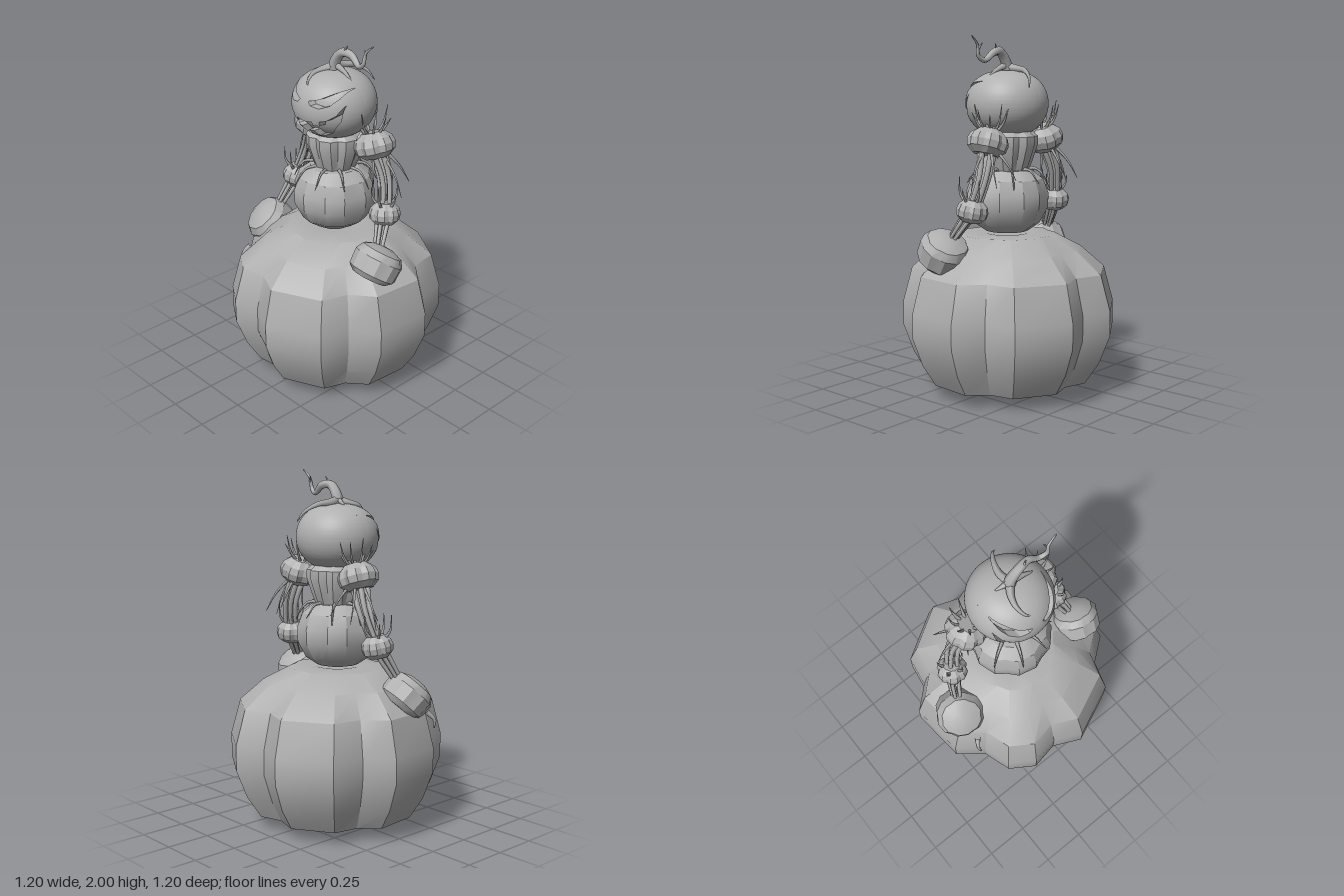
import * as THREE from 'three';
import { toCreasedNormals } from 'three/addons/utils/BufferGeometryUtils.js';

const V = (x, y, z) => new THREE.Vector3(x, y, z);
let seed = 7;
const rnd = (a, b) => { seed = (seed * 16807) % 2147483647; return a + (b - a) * seed / 2147483647; };

export function createModel() {
  const root = new THREE.Group();
  const grey = new THREE.MeshStandardMaterial({ color: 0xb0b0b0 });
  grey.name = 'grey';

  function add(name, geometry, parent = root) {
    const m = new THREE.Mesh(geometry, grey);
    m.name = name;
    parent.add(m);
    return m;
  }
  function fromTriangles(list, crease) {
    const g = new THREE.BufferGeometry();
    g.setAttribute('position', new THREE.Float32BufferAttribute(list.flatMap(p => [p.x, p.y, p.z]), 3));
    return toCreasedNormals(g, crease);
  }
  // Skin of a gourd: the outline (unit x,z loop) is swept up a profile of [radius, y];
  // the grooves fade out near the poles.
  function gourd(outline, profile, crease = 0.5) {
    const maxR = Math.max(...profile.map(p => p[0])), n = outline.length, tris = [];
    const rings = profile.map(([r, y]) => outline.map(([x, z]) => {
      const l = Math.hypot(x, z), k = r * (1 + (l - 1) * Math.min(1, 1.15 * r / maxR)) / l;
      return V(x * k, y, z * k);
    }));
    for (let i = 0; i + 1 < rings.length; i++) for (let j = 0; j < n; j++) {
      const k = (j + 1) % n, a = rings[i][j], b = rings[i][k], c = rings[i + 1][k], d = rings[i + 1][j];
      if (profile[i][0] > 0) tris.push(a, b, c);
      if (profile[i + 1][0] > 0) tris.push(a, c, d);
    }
    return fromTriangles(tris, crease);
  }
  // Lobed outline: two corners and one groove per lobe
  function lobes(n, groove, turn = 0) {
    const pts = [];
    for (let i = 0; i < n; i++) for (const [t, r] of [[0, groove], [0.28, 1], [0.72, 1]]) {
      const a = (i + t) / n * Math.PI * 2 + turn;
      pts.push([Math.sin(a) * r, Math.cos(a) * r]);
    }
    return pts;
  }
  // Tube tapering along a smooth path
  function vine(name, pts, r0, r1, parent = root, segs = 12, sides = 5) {
    const curve = new THREE.CatmullRomCurve3(pts);
    const g = new THREE.TubeGeometry(curve, segs, 1, sides);
    const p = g.attributes.position, v = V(), c = V();
    for (let i = 0; i < p.count; i++) {
      const t = Math.floor(i / (sides + 1)) / segs;
      curve.getPointAt(t, c);
      v.fromBufferAttribute(p, i).sub(c).multiplyScalar(r0 + (r1 - r0) * t).add(c);
      p.setXYZ(i, v.x, v.y, v.z);
    }
    return add(name, g, parent);
  }
  function place(mesh, pos, axis) {
    mesh.position.copy(pos);
    mesh.quaternion.setFromUnitVectors(V(0, 1, 0), axis.clone().normalize());
  }

  // Large base pumpkin
  const baseLoop = [[-.08, .52], [.08, .595], [.38, .46], [.43, .3], [.57, .19], [.6, -.13], [.47, -.25], [.44, -.43],
    [.17, -.6], [0, -.54], [-.17, -.6], [-.44, -.43], [-.47, -.25], [-.6, -.13], [-.57, .19], [-.43, .3],
    [-.38, .46], [-.24, .55]].map(([x, z]) => [x / .61, z / .61]);
  add('basePumpkin', gourd(baseLoop, [[0, .03], [.08, .025], [.22, .003], [.47, .075], [.55, .2], [.61, .36], [.61, .5],
    [.555, .7], [.42, .82], [.27, .9], [.13, .905], [0, .88]]));

  // Waist pumpkin and ribbed chest
  add('waist', gourd(lobes(6, .93, .3), [[0, .9], [.12, .915], [.185, .96], [.232, 1.05], [.235, 1.13], [.205, 1.21],
    [.14, 1.26], [0, 1.27]]));
  const chest = add('chest', gourd(lobes(7, .88), [[0, 1.25], [.115, 1.26], [.135, 1.31], [.165, 1.4], [.165, 1.45],
    [.12, 1.49], [0, 1.5]]));
  chest.position.z = -.01;

  // Head: squashed sphere with a carved face
  const HY = 1.63, HH = .183, HR = .232, DEPTH = .045;
  const ringR = y => HR * Math.pow(Math.max(0, 1 - ((y - HY) / HH) ** 2), .4);
  const onHead = (x, y) => V(x, y, Math.sqrt(Math.max(0, ringR(y) ** 2 - x * x)));
  const eye = [[.18, 1.755], [.14, 1.738], [.09, 1.708], [.03, 1.692], [.05, 1.672], [.1, 1.664], [.145, 1.682], [.17, 1.715]];
  const mouth = [[.2, 1.685], [.175, 1.63], [.135, 1.6], [.1, 1.592], [.095, 1.565], [.06, 1.56], [.055, 1.582], [0, 1.575],
    [-.055, 1.582], [-.06, 1.56], [-.095, 1.565], [-.1, 1.592], [-.135, 1.6], [-.175, 1.63], [-.2, 1.685], [-.19, 1.6],
    [-.14, 1.525], [-.085, 1.505], [-.08, 1.535], [-.045, 1.53], [-.04, 1.488], [.01, 1.482], [.015, 1.525], [.05, 1.527],
    [.055, 1.492], [.1, 1.505], [.14, 1.525], [.19, 1.6]];
  const cuts = [eye, eye.map(([x, y]) => [-x, y]).reverse(), mouth].map(loop => {
    const dense = loop.flatMap(([x, y], i) => {
      const [u, w] = loop[(i + 1) % loop.length], n = Math.ceil(Math.hypot(u - x, w - y) / .006);
      return Array.from({ length: n }, (_, k) => new THREE.Vector2(x + (u - x) * k / n, y + (w - y) * k / n));
    });
    return THREE.ShapeUtils.isClockWise(dense) ? dense.reverse() : dense;
  });
  const inside = (x, y) => cuts.some(loop => loop.reduce((odd, p, i) => {
    const q = loop[(i + 1) % loop.length];
    return (p.y > y) !== (q.y > y) && x < p.x + (q.x - p.x) * (y - p.y) / (q.y - p.y) ? !odd : odd;
  }, false));
  const rim = cuts.flat();
  function headPoint(i, j) {
    const e = (i / 72 - .5) * Math.PI, a = j / 144 * Math.PI * 2;
    const y = HY + HH * Math.sin(e), r = ringR(y), p = V(Math.sin(a) * r, y, Math.cos(a) * r);
    if (p.z > .02) {
      let best = .0055, hit = null;
      for (const q of rim) {
        const d = Math.hypot(q.x - p.x, q.y - p.y);
        if (d < best) { best = d; hit = q; }
      }
      if (hit) return onHead(hit.x, hit.y);
    }
    return p;
  }
  const grid = Array.from({ length: 73 }, (_, i) => Array.from({ length: 144 }, (_, j) => headPoint(i, j)));
  const back = p => V(p.x, p.y, p.z - DEPTH);
  const headTris = [];
  for (let i = 0; i < 72; i++) for (let j = 0; j < 144; j++) {
    const k = (j + 1) % 144, a = grid[i][j], b = grid[i][k], c = grid[i + 1][k], d = grid[i + 1][j];
    for (const t of [[a, b, c], [a, c, d]]) {
      const m = V().add(t[0]).add(t[1]).add(t[2]).divideScalar(3);
      headTris.push(...(m.z > 0 && inside(m.x, m.y) ? t.map(back) : t));
    }
  }
  // Walls of the carved openings
  for (const loop of cuts) loop.forEach((p, i) => {
    const n = loop[(i + 1) % loop.length], a = onHead(p.x, p.y), b = onHead(n.x, n.y);
    headTris.push(a, b, back(b), a, back(b), back(a));
  });
  add('head', fromTriangles(headTris, .6));

  // Curling stem with roots draped over the head
  const stem = new THREE.Group();
  stem.name = 'stem';
  root.add(stem);
  vine('stemCurl', [V(-.01, 1.78, 0), V(.01, 1.86, 0), V(.06, 1.915, 0), V(.12, 1.91, -.01), V(.185, 1.868, 0), V(.225, 1.89, .01),
    V(.238, 1.95, .005), V(.29, 1.998, 0)], .036, .003, stem, 40, 7);
  vine('stemTwig', [V(.06, 1.915, 0), V(.085, 1.935, .005), V(.1, 1.96, 0)], .012, .002, stem, 6);
  vine('stemTwig', [V(.232, 1.93, 0), V(.215, 1.96, -.01)], .008, .002, stem, 4);
  vine('rootBack', [V(0, 1.83, 0), V(-.01, 1.82, -.07), V(.01, 1.81, -.14), V(.05, 1.77, -.2), V(.08, 1.72, -.225)], .026, .003, stem, 20);
  vine('rootFront', [V(0, 1.83, 0), V(-.035, 1.815, .05), V(-.05, 1.8, .11), V(-.03, 1.765, .165), V(0, 1.75, .18)], .026, .003, stem, 20);
  vine('rootSide', [V(.01, 1.84, 0), V(.08, 1.815, .005), V(.15, 1.775, .01)], .022, .003, stem, 10);
  vine('rootSide', [V(0, 1.84, 0), V(-.04, 1.82, -.01), V(-.08, 1.805, -.02)], .022, .003, stem, 8);

  // Arms: shoulder gourd, bundled stalks, wrist gourd, forearm and fist
  const cuff = (r, h) => gourd(lobes(6, .88), [[0, -h], [r * .6, -h], [r * .93, -h * .55], [r, 0], [r * .9, h * .5],
    [r * .55, h], [0, h]], .4);
  const fist = gourd(lobes(6, .94), [[0, -.085], [.1, -.085], [.135, -.055], [.14, .035], [.115, .075], [.06, .097], [0, .102]]);
  const arms = [
    { name: 'leftArm', s: 1, wrist: V(.345, 1.065, -.05), hand: V(.425, .835, .09), axis: V(.08, .8, -.5) },
    { name: 'rightArm', s: -1, wrist: V(-.37, 1.065, -.05), hand: V(-.45, .785, .1), axis: V(-.25, .7, .6) },
  ];
  for (const { name, s, wrist, hand, axis } of arms) {
    const arm = new THREE.Group();
    arm.name = name;
    root.add(arm);
    const shoulder = V(s * .24, 1.43, -.07);
    place(add('shoulder', cuff(.115, .07), arm), shoulder, V(-s * .35, 1, 0));
    place(add('wrist', cuff(.088, .06), arm), wrist, V(-s * .12, 1, -.15));
    place(add('fist', fist, arm), hand, axis);
    const joint = V(s * .16, 1.46, -.03);
    vine('shoulderStalk', [joint, shoulder], .05, .05, arm, 4, 6);
    for (let i = 0; i < 5; i++) {
      const a = i / 5 * Math.PI * 2, off = V(Math.cos(a), 0, Math.sin(a));
      // upper arm stalks
      const mid = shoulder.clone().lerp(wrist, .5).addScaledVector(off, .032).add(V(s * .01, 0, -.03));
      vine('upperStalk', [shoulder.clone().addScaledVector(off, .045), mid, wrist.clone().addScaledVector(off, .03)], .017, .013, arm);
      // forearm stalks
      const end = wrist.clone().lerp(hand, .75).addScaledVector(off, .02);
      vine('foreStalk', [wrist.clone().addScaledVector(off, .035), wrist.clone().lerp(hand, .4).addScaledVector(off, .028), end],
        .014, .01, arm, 8);
      // leaves rising from the wrist
      vine('wristLeaf', [wrist.clone().addScaledVector(off, .035).add(V(0, .04, 0)),
        wrist.clone().addScaledVector(off, .07).add(V(0, .09, 0)),
        wrist.clone().addScaledVector(off, .075).add(V(0, rnd(.13, .19), 0))], .012, .002, arm, 8, 4);
    }
    // tuft of leaves on the shoulder
    for (let i = 0; i < 9; i++) {
      const a = i / 9 * Math.PI * 2, off = V(Math.cos(a), 0, Math.sin(a));
      const top = shoulder.clone().add(V(-s * .02, .06, 0));
      vine('shoulderLeaf', [top.clone().addScaledVector(off, .04), top.clone().addScaledVector(off, .075).add(V(0, .05, 0)),
        top.clone().addScaledVector(off, .1).add(V(0, rnd(.07, .16), 0))], .011, .002, arm, 8, 4);
    }
    // loose strands hanging from the shoulder
    for (const [dx, dz, len] of [[.11, -.03, .22], [.07, -.14, .18], [.02, .04, .2], [-.02, -.15, .15]]) {
      const from = shoulder.clone().add(V(s * dx * .5, -.05, dz * .4));
      vine('strand', [from, from.clone().add(V(s * dx * .7, -len * .45, dz * .4)),
        from.clone().add(V(s * dx * 1.1, -len, dz * .75))], .012, .002, arm, 10, 4);
    }
  }

  // Leaves hanging between chest and waist
  for (let i = 0; i < 9; i++) {
    const a = i / 9 * Math.PI * 2 + .35, at = (r, y) => V(Math.sin(a) * r, y, Math.cos(a) * r);
    vine('waistLeaf', [at(.11, 1.27), at(.17, 1.262), at(.205, 1.225), at(.235, rnd(1.15, 1.2))], .011, .002, root, 8, 4);
  }

  // Small thorn on the base pumpkin
  vine('thorn', [V(-.45, .67, .26), V(-.475, .62, .3), V(-.465, .57, .31)], .018, .004, root, 8);
  return root;
}
